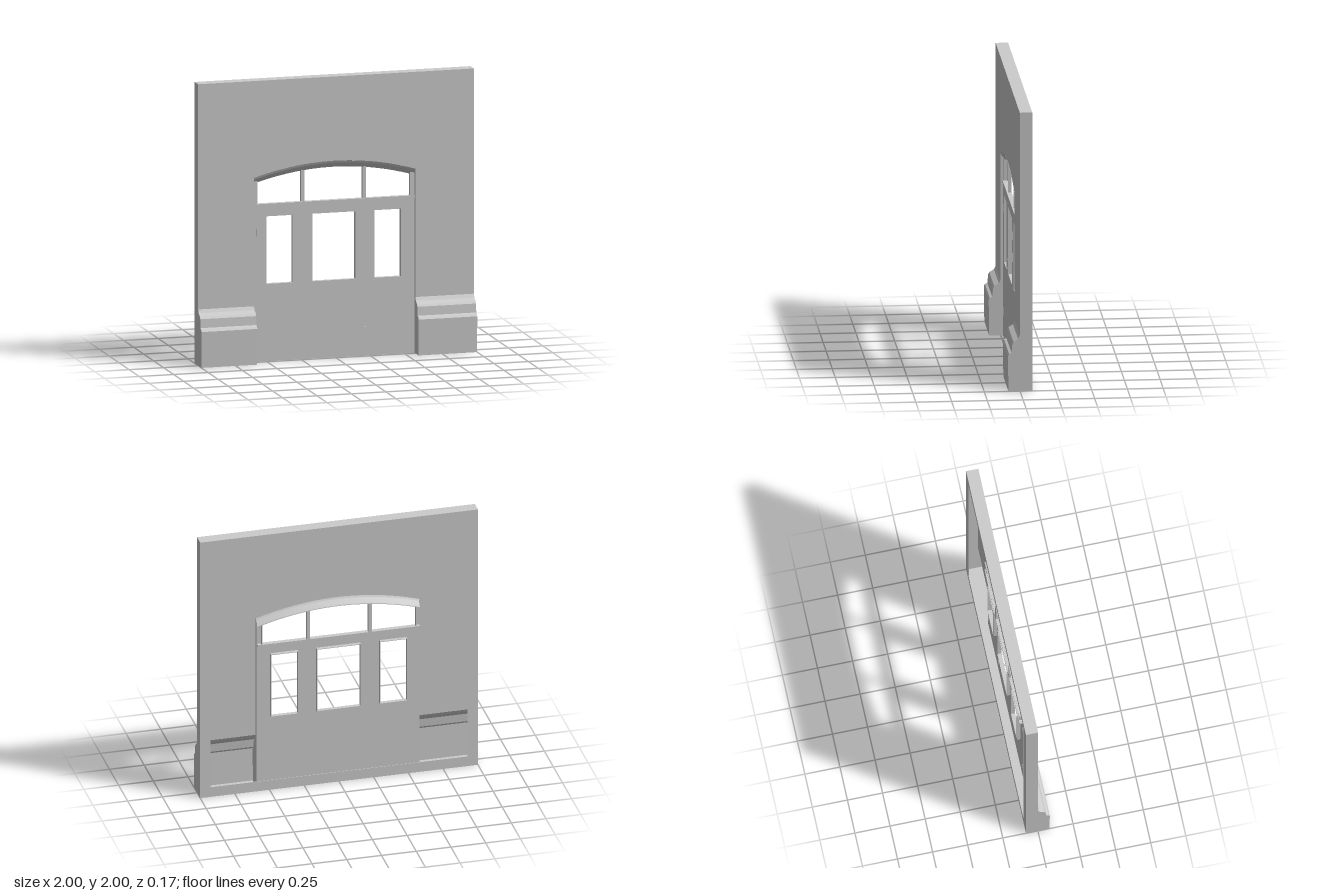
import * as THREE from 'three';

const material = new THREE.MeshStandardMaterial({ color: 0xcccccc, flatShading: true, side: THREE.DoubleSide });
const DOOR_L = -0.595, DOOR_R = 0.575, SPRING = 0.4, RIM = 0.075, BACK = -0.085;
const SKIN = 0.004, DOOR_Z = -0.015, LIP_Z = -0.045;

// Arched head: outer and inner curves over the doorway
const MID = (DOOR_L + DOOR_R) / 2, HALF = (DOOR_R - DOOR_L) / 2;
const outerArc = (x) => 1.4 - 0.09 * ((x - MID) / HALF) ** 2;
const innerArc = (x) => 1.353 - 0.09 * ((x - MID) / HALF) ** 2;

const shapeOf = (pts) => new THREE.Shape(pts.map(([x, y]) => new THREE.Vector2(x, y)));
const rect = (x0, x1, y0, y1) => [[x0, y0], [x1, y0], [x1, y1], [x0, y1]];

export function createModel() {
  const model = new THREE.Group();

  const add = (name, geometry) => {
    const mesh = new THREE.Mesh(geometry, material);
    mesh.name = name;
    model.add(mesh);
  };
  const box = (name, x0, x1, y0, y1, z0, z1) => {
    const g = new THREE.BoxGeometry(x1 - x0, y1 - y0, z1 - z0);
    add(name, g.translate((x0 + x1) / 2, (y0 + y1) / 2, (z0 + z1) / 2));
  };
  // Plate drawn in the front plane, between two depths
  const plate = (name, outline, holes, z0, z1) => {
    const shape = shapeOf(outline);
    shape.holes = holes.map((h) => new THREE.Path(h.map(([x, y]) => new THREE.Vector2(x, y))));
    const g = new THREE.ExtrudeGeometry(shape, { depth: z1 - z0, bevelEnabled: false });
    add(name, g.translate(0, 0, z0));
  };
  // Side profile given as [z, y], run along x
  const run = (name, profile, x0, x1) => {
    const g = new THREE.ExtrudeGeometry(shapeOf(profile), { depth: x1 - x0, bevelEnabled: false });
    add(name, g.rotateY(-Math.PI / 2).translate(x1, 0, 0));
  };

  // Thin wall face with an arched opening
  const wall = [[-1, SPRING], [DOOR_L, SPRING]];
  const steps = 24;
  for (let i = 0; i <= steps; i++) {
    const x = DOOR_L + (i / steps) * (DOOR_R - DOOR_L);
    wall.push([x, outerArc(x)]);
  }
  wall.push([DOOR_R, SPRING], [1, SPRING], [1, 2], [-1, 2]);
  plate('wallFace', wall, [], 0.002 - SKIN, 0.002);

  // Hollow shell behind the face: top, floor and a flat flange round the back
  box('shellTop', -1, 1, 2 - SKIN, 2, BACK, 0.002);
  box('shellFloor', -1, 1, 0, SKIN, BACK, DOOR_Z);
  plate('backFlange', rect(-1, 1, 0, 2), [rect(-1 + RIM, 1 - RIM, RIM, 2 - RIM)], BACK, BACK + SKIN);

  // Stepped plinths as thin shells, with shell sides and door jambs following their profile
  const front = [[0.081, 0], [0.085, 0.255], [0.077, 0.27], [0.06, 0.278], [0.054, 0.34],
    [0.046, 0.355], [0.014, 0.375], [0.002, SPRING]];
  const inner = front.map(([z, y]) => [z - 0.005, y]).reverse();
  const shellSide = [[BACK, 0], ...front, [0.002, 2], [BACK, 2]];
  const jamb = [[DOOR_Z, 0], ...front, [0.002, 1.31], [DOOR_Z, 1.31]];
  for (const [side, a, b, outerX, jambX] of [
    ['Right', -1, DOOR_L, -1, DOOR_L - SKIN], ['Left', DOOR_R, 1, 1 - SKIN, DOOR_R]]) {
    run('plinth' + side, [...front, ...inner], a, b);
    box('plinthFloor' + side, a, b, 0, SKIN, DOOR_Z, 0.081);
    run('shellSide' + side, shellSide, outerX, outerX + SKIN);
    run('jamb' + side, jamb, jambX, jambX + SKIN);
  }

  // Thin door leaves with three windows, each with a reveal standing out behind
  const windows = [[-0.5, -0.31], [-0.165, 0.145], [0.285, 0.475]]
    .map(([a, b]) => [a, b, 0.55, 1.03]);
  plate('doorLeaves', rect(DOOR_L, DOOR_R, 0, 1.11),
    windows.map((w) => rect(...w)), DOOR_Z - SKIN, DOOR_Z);
  for (const [a, b, c, d] of windows) {
    const e = 0.004;
    plate('windowReveal', rect(a - e, b + e, c - e, d + e), [rect(a, b, c, d)], LIP_Z, DOOR_Z - SKIN);
  }

  // Transom bar, side stiles and mullions of the fanlight
  box('transomBar', DOOR_L, DOOR_R, 1.106, 1.12, LIP_Z, -0.01);
  for (const [a, b, edge] of [[DOOR_L, -0.565, -0.569], [0.542, DOOR_R, 0.542]]) {
    box('fanlightStile', a, b, 1.11, 1.285, DOOR_Z - SKIN, DOOR_Z);
    box('fanlightReveal', edge, edge + SKIN, 1.11, 1.275, LIP_Z, DOOR_Z);
  }
  for (const x of [-0.235, 0.21]) {
    box('mullion', x - 0.012, x + 0.012, 1.11, innerArc(x) + 0.004, LIP_Z, -0.02);
  }

  // Arched moulding: a thin sloping section swept over the opening
  const section = (x) => {
    const o = outerArc(x), n = innerArc(x);
    return [[o + 0.002, 0.003], [o - 0.014, -0.004], [n, -0.028], [n, LIP_Z],
      [n + 0.004, LIP_Z], [n + 0.004, -0.032], [o - 0.01, -0.008], [o + 0.002, -0.002]];
  };
  const pos = [], index = [], S = 8;
  for (let i = 0; i <= steps; i++) {
    const x = DOOR_L + (i / steps) * (DOOR_R - DOOR_L);
    for (const [y, z] of section(x)) pos.push(x, y, z);
    if (i === steps) continue;
    for (let j = 0; j < S; j++) {
      const a = i * S + j, b = i * S + (j + 1) % S;
      index.push(a, b, a + S, b, b + S, a + S);
    }
  }
  const arch = new THREE.BufferGeometry();
  arch.setAttribute('position', new THREE.Float32BufferAttribute(pos, 3));
  arch.setIndex(index);
  arch.computeVertexNormals();
  add('archMoulding', arch);

  // Hinges, leaf seam and lock
  for (const [x, y] of [[-0.57, 0.92], [-0.57, 0.18], [0.215, 0.92], [0.215, 0.76],
    [0.215, 0.18], [0.545, 0.92], [0.545, 0.18]]) {
    box('hinge', x - 0.004, x + 0.004, y - 0.03, y + 0.03, -0.022, -0.009);
  }
  box('leafSeam', 0.213, 0.215, SKIN, 1.1, -0.02, -0.0145);
  for (const y of [0.58, 0.64]) box('lock', -0.211, -0.201, y - 0.008, y + 0.008, -0.02, -0.011);

  return model;
}
